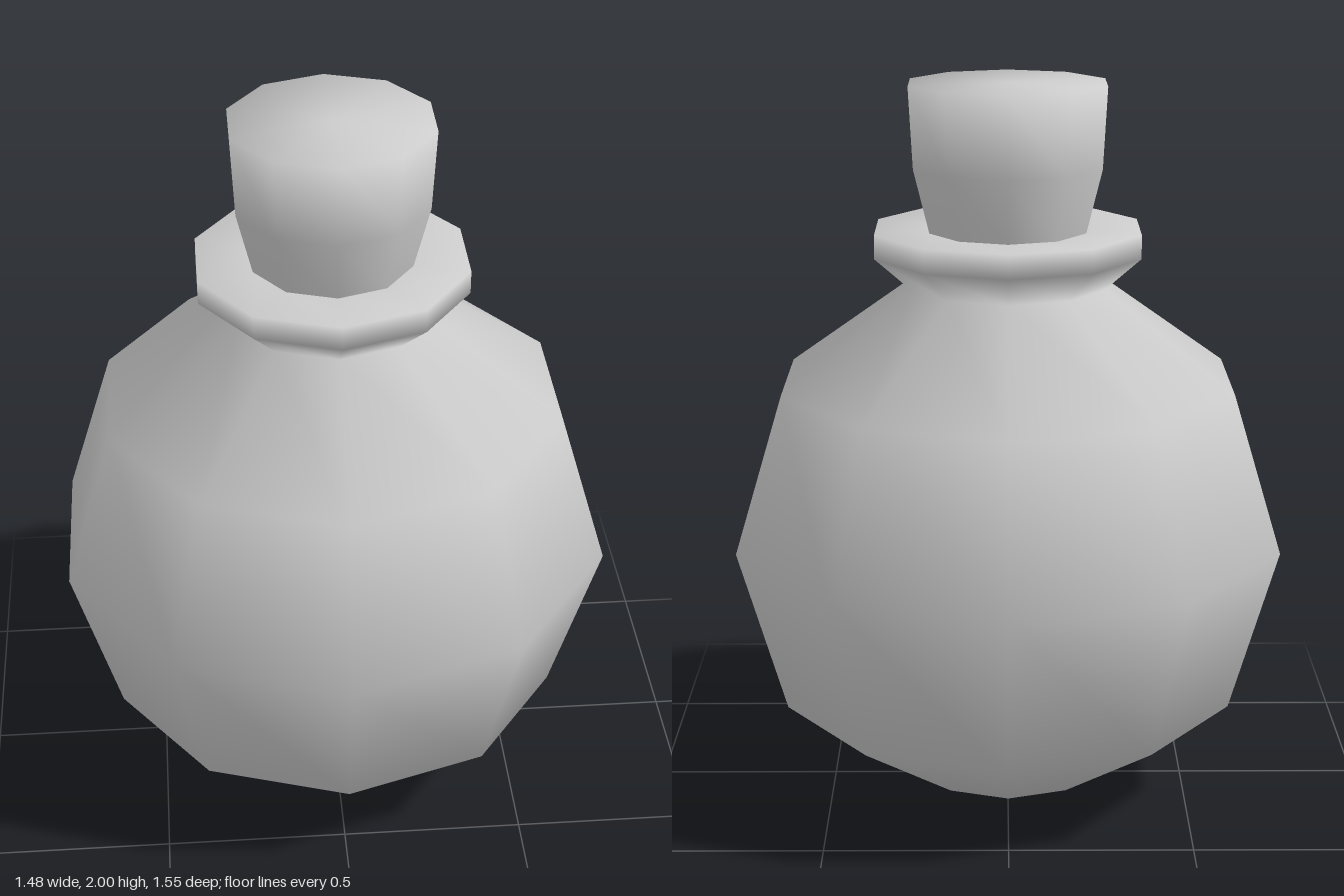
import * as THREE from 'three';

const SIDES = 10;

// Smooth ten-sided turned part from [radius, height] pairs, bottom to top
function turned(name, profile) {
  const points = profile.map(([r, y]) => new THREE.Vector2(r, y));
  const mesh = new THREE.Mesh(
    new THREE.LatheGeometry(points, SIDES),
    new THREE.MeshStandardMaterial({ color: 0xcccccc })
  );
  mesh.name = name;
  return mesh;
}

export function createModel() {
  const group = new THREE.Group();
  group.name = 'corkedFlask';

  // Round body, pinched neck and flared lip
  group.add(turned('bottle', [
    [0, 0], [0.275, 0.045], [0.645, 0.29], [0.777, 0.755], [0.64, 1.19],
    [0.275, 1.455], [0.375, 1.545], [0.375, 1.61], [0.2, 1.605],
  ]));

  // Stopper widening upward
  group.add(turned('cork', [
    [0.22, 1.6], [0.265, 1.78], [0.277, 2], [0, 2],
  ]));

  return group;
}
